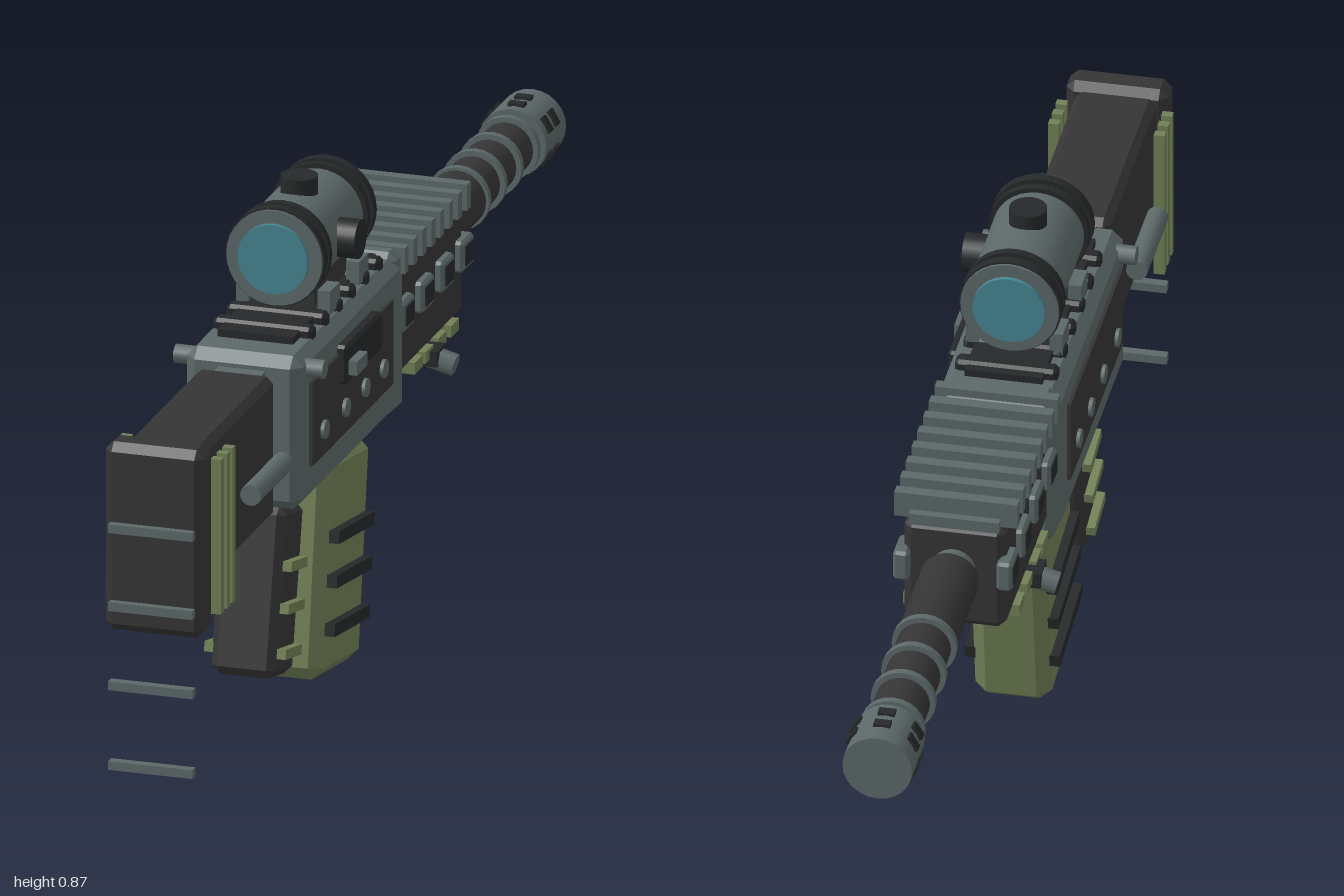
import * as THREE from 'three';
import { ConvexGeometry } from 'three/addons/geometries/ConvexGeometry.js';

const mat = (name, color, flat = false) => {
  const m = new THREE.MeshStandardMaterial({ color });
  m.name = name;
  return m;
};

export function createModel() {
  const steel = mat('steel grey', 0x5c6868);
  const dark = mat('dark polymer', 0x353535);
  const black = mat('black trim', 0x262829);
  const olive = mat('olive', 0x717f56);
  const glass = mat('teal lens', 0x468490);

  const root = new THREE.Group();
  root.name = 'rifle';
  const section = (name) => {
    const g = new THREE.Group();
    g.name = name;
    root.add(g);
    return g;
  };
  const add = (parent, name, geo, m, x, y, z) => {
    const mesh = new THREE.Mesh(geo, m);
    mesh.name = name;
    mesh.position.set(x, y, z);
    parent.add(mesh);
    return mesh;
  };
  const box = (p, name, m, w, h, d, x, y, z) => add(p, name, new THREE.BoxGeometry(w, h, d), m, x, y, z);
  // Box with every edge cut at an angle
  const cut = (p, name, m, w, h, d, x, y, z, c = 0.012) => {
    const pts = [];
    for (const i of [-1, 1]) for (const j of [-1, 1]) for (const k of [-1, 1]) {
      const a = w / 2, b = h / 2, e = d / 2;
      pts.push(new THREE.Vector3(i * a, j * (b - c), k * (e - c)),
        new THREE.Vector3(i * (a - c), j * b, k * (e - c)),
        new THREE.Vector3(i * (a - c), j * (b - c), k * e));
    }
    return add(p, name, new ConvexGeometry(pts), m, x, y, z);
  };
  // Cylinder along a chosen axis
  const cyl = (p, name, m, r, len, axis, x, y, z, sides = 24) => {
    const g = new THREE.CylinderGeometry(r, r, len, sides);
    if (axis === 'x') g.rotateZ(Math.PI / 2);
    if (axis === 'z') g.rotateX(Math.PI / 2);
    return add(p, name, g, m, x, y, z);
  };
  const SIDES = [-1, 1];

  // Stock with butt plate, ribs and side tubes
  const stock = section('stock');
  cut(stock, 'stockBody', dark, 0.135, 0.245, 0.41, 0, 0.532, 0.755);
  cut(stock, 'buttPlate', dark, 0.17, 0.325, 0.06, 0, 0.505, 0.957, 0.014);
  for (const y of [0.525, 0.39, 0.253, 0.115]) box(stock, 'buttBar', steel, 0.145, 0.015, 0.016, 0, y, 0.992);
  for (const s of SIDES) {
    for (const z of [0.857, 0.887, 0.917]) box(stock, 'stockRib', olive, 0.018, 0.268, 0.015, s * 0.088, 0.503, z);
    cyl(stock, 'sideTube', steel, 0.018, 0.17, 'z', s * 0.1, 0.527, 0.695, 16);
  }
  box(stock, 'stockNeck', steel, 0.08, 0.035, 0.06, 0, 0.63, 0.535);

  // Receiver with side panels, rivets and port
  const receiver = section('receiver');
  cut(receiver, 'receiverBody', steel, 0.2, 0.265, 0.54, 0, 0.54, 0.25, 0.018);
  cut(receiver, 'frontFlange', steel, 0.19, 0.28, 0.055, 0, 0.542, -0.015, 0.014);
  cyl(receiver, 'chargingRod', steel, 0.016, 0.256, 'x', 0, 0.645, 0.475, 12);
  for (const s of SIDES) {
    box(receiver, 'sidePanel', dark, 0.012, 0.145, 0.425, s * 0.1, 0.547, 0.262);
    for (const z of [0.417, 0.305, 0.203, 0.107]) cyl(receiver, 'rivet', steel, 0.016, 0.01, 'x', s * 0.107, 0.52, z, 12);
  }
  cut(receiver, 'ejectionPort', black, 0.022, 0.068, 0.185, 0.107, 0.6, 0.237, 0.005);
  box(receiver, 'portLatch', steel, 0.022, 0.024, 0.055, 0.122, 0.595, 0.295);

  // Rail on the receiver
  box(receiver, 'rail', black, 0.13, 0.02, 0.43, 0, 0.675, 0.235);
  for (const z of [0.4, 0.33, 0.26, 0.19, 0.12, 0.05]) cut(receiver, 'railTooth', black, 0.17, 0.028, 0.03, 0, 0.676, z, 0.006);

  // Handguard with slatted top and side vents
  const guard = section('handguard');
  cut(guard, 'handguardBody', dark, 0.17, 0.195, 0.35, 0, 0.545, -0.205, 0.014);
  box(guard, 'topPlate', steel, 0.15, 0.02, 0.36, 0, 0.645, -0.2);
  for (let i = 0; i < 8; i++) box(guard, 'topSlat', steel, 0.205, 0.045, 0.02, 0, 0.662, -0.03 - i * 0.0465);
  for (const s of SIDES) {
    for (const z of [-0.055, -0.157, -0.262, -0.365]) {
      cut(guard, 'ventFrame', steel, 0.026, 0.054, 0.06, s * 0.086, 0.56, z, 0.005);
      box(guard, 'ventCentre', black, 0.006, 0.034, 0.04, s * 0.098, 0.56, z);
    }
    for (const z of [-0.11, -0.165, -0.235, -0.3]) box(guard, 'lowerTab', olive, 0.026, 0.02, 0.042, s * 0.084, 0.452, z);
    const knob = cyl(guard, 'lowerKnob', steel, 0.019, 0.045, 'x', s * 0.112, 0.434, -0.19, 6);
    knob.rotation.z = -s * 0.25;
    box(guard, 'knobMount', black, 0.03, 0.026, 0.05, s * 0.095, 0.443, -0.19);
  }

  // Barrel and muzzle brake
  const barrel = section('barrel');
  cyl(barrel, 'barrelSleeve', steel, 0.036, 0.06, 'z', 0, 0.56, -0.395);
  cyl(barrel, 'barrelTube', dark, 0.049, 0.2, 'z', 0, 0.56, -0.513);
  cyl(barrel, 'barrelFront', dark, 0.045, 0.3, 'z', 0, 0.56, -0.75);
  for (const z of [-0.615, -0.7, -0.785, -0.873]) cyl(barrel, 'barrelRing', steel, 0.054, 0.013, 'z', 0, 0.56, z);
  cyl(barrel, 'muzzle', steel, 0.058, 0.105, 'z', 0, 0.56, -0.9475);
  for (let i = 0; i < 6; i++) {
    const a = (i + 0.5) * Math.PI / 3;
    for (const z of [-0.92, -0.955]) {
      const slot = box(barrel, 'muzzleSlot', black, 0.028, 0.012, 0.017, Math.cos(a) * 0.056, 0.56 + Math.sin(a) * 0.056, z);
      slot.rotation.z = a - Math.PI / 2;
    }
  }

  // Scope with lenses, knobs and clamps
  const scope = section('scope');
  cyl(scope, 'scopeTube', steel, 0.076, 0.28, 'z', 0, 0.782, 0.21, 32);
  for (const s of SIDES) {
    cyl(scope, 'scopeRim', steel, 0.082, 0.02, 'z', 0, 0.782, 0.21 + s * 0.132, 32);
    cyl(scope, 'outerRing', black, 0.085, 0.018, 'z', 0, 0.782, 0.21 + s * 0.128, 32);
    cyl(scope, 'innerRing', black, 0.084, 0.014, 'z', 0, 0.782, 0.21 + s * 0.1, 32);
    cyl(scope, 'lens', glass, 0.06, 0.018, 'z', 0, 0.782, 0.21 + s * 0.141, 32);
    for (const z of [0.13, 0.28]) box(scope, 'scopeClamp', steel, 0.022, 0.04, 0.05, s * 0.07, 0.697, z);
  }
  cyl(scope, 'topKnob', black, 0.031, 0.05, 'y', 0, 0.857, 0.22);
  cyl(scope, 'sideKnob', black, 0.033, 0.05, 'x', 0.08, 0.782, 0.22);
  box(scope, 'scopeMount', dark, 0.1, 0.05, 0.17, 0, 0.7, 0.21);

  // Raked grip with side ribs
  const grip = section('grip');
  grip.position.set(0, 0.243, 0.441);
  grip.rotation.x = -0.215;
  cut(grip, 'gripBody', dark, 0.112, 0.285, 0.11, 0, 0, 0, 0.014);
  for (const s of SIDES) for (const y of [0.045, -0.025, -0.1]) {
    box(grip, 'gripRib', olive, 0.022, 0.017, 0.085, s * 0.059, y, 0);
  }

  // Raked magazine with side bars
  const magazine = section('magazine');
  magazine.position.set(0, 0.208, 0.168);
  magazine.rotation.x = -0.15;
  cut(magazine, 'magazineBody', olive, 0.128, 0.378, 0.224, 0, 0, 0, 0.022);
  for (const s of SIDES) for (const y of [0.052, -0.022, -0.103]) {
    box(magazine, 'magazineBar', black, 0.024, 0.022, 0.185, s * 0.067, y, 0);
  }

  return root;
}
